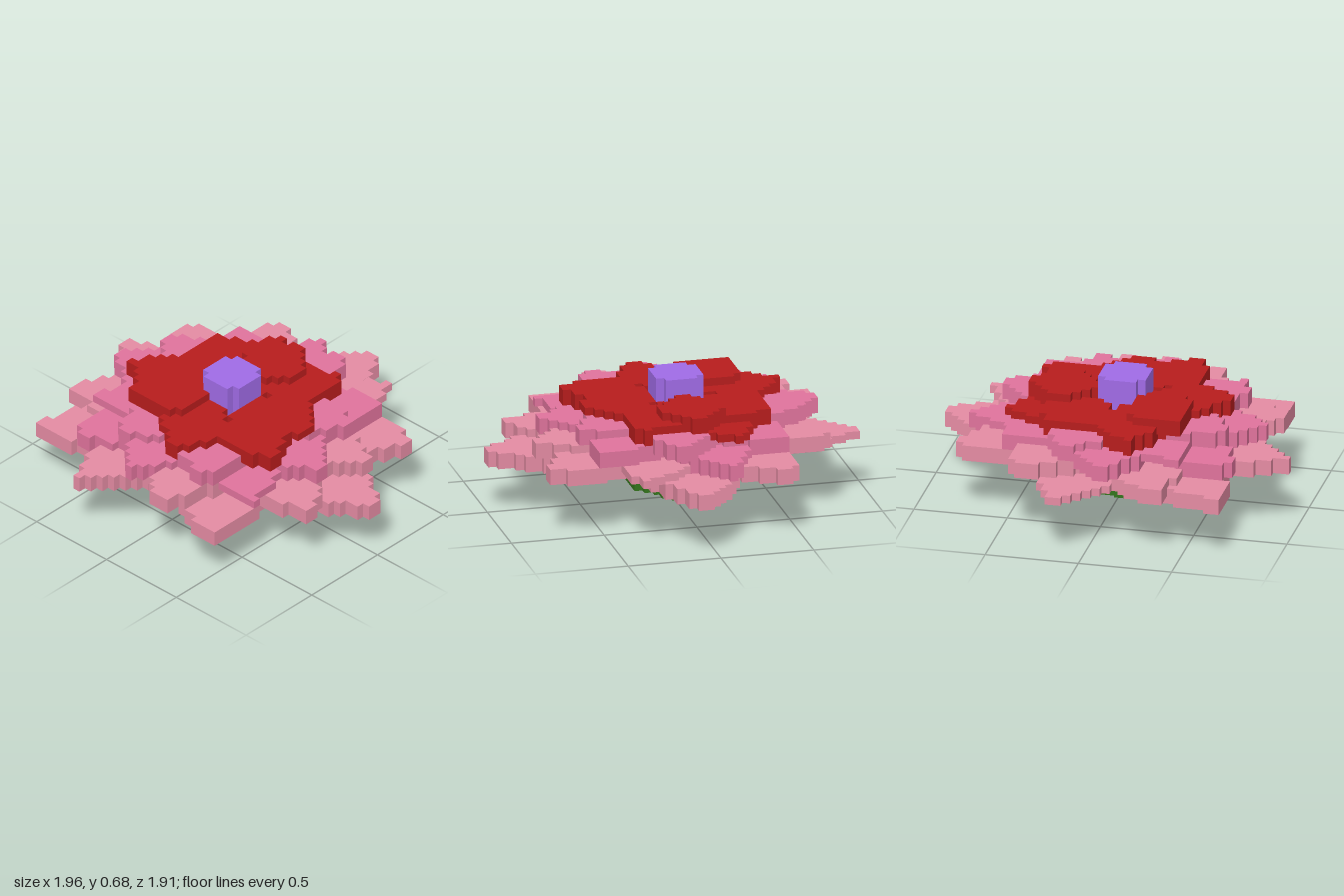
import * as THREE from 'three';

const V = 2 / 47; // voxel edge
const material = (name, color) => Object.assign(new THREE.MeshStandardMaterial({ color }), { name });

// Six cube sides: outward direction and two edge directions (u x v = n)
const SIDES = [
  [[1, 0, 0], [0, 1, 0], [0, 0, 1]], [[-1, 0, 0], [0, 0, 1], [0, 1, 0]],
  [[0, 1, 0], [0, 0, 1], [1, 0, 0]], [[0, -1, 0], [1, 0, 0], [0, 0, 1]],
  [[0, 0, 1], [1, 0, 0], [0, 1, 0]], [[0, 0, -1], [0, 1, 0], [1, 0, 0]],
];

export function createModel() {
  const cells = new Map(); // "x,y,z" -> part name; later parts replace earlier ones

  // Fill every column whose centre passes the test, from layer y0 up to y1
  function fill(part, y0, y1, inside) {
    for (let x = -25; x < 25; x++) for (let z = -25; z < 25; z++) {
      if (!inside(x + 0.5, z + 0.5)) continue;
      for (let y = y0; y < y1; y++) cells.set([x, y, z].join(), part);
    }
  }
  const disc = (part, r, y0, y1) => fill(part, y0, y1, (x, z) => Math.hypot(x, z) < r);

  // Stem and calyx
  disc('stem', 2.05, 0, 2);
  disc('calyx', 6.05, 2, 7);

  // Petals: a golden-angle spiral that rises and shrinks towards the middle
  for (let n = 0; n < 37; n++) {
    const part = n < 14 ? 'outerPetals' : n < 28 ? 'middlePetals' : 'innerPetals';
    const angle = n * THREE.MathUtils.degToRad(137.5);
    const c = Math.cos(angle), s = Math.sin(angle);
    const length = 24.4 - 0.345 * n;
    const halfWidth = 3.4 + 0.09 * length;
    const base = 6 + 0.165 * n;
    fill(part, Math.round(base), Math.round(base + 1.83), (x, z) => {
      const t = (x * c + z * s) / length;
      if (t <= 0 || t >= 1) return false;
      const neck = Math.min(1, (t / 0.6) ** 1.4); // narrow foot of the petal
      return Math.abs(z * c - x * s) < halfWidth * Math.sin(Math.PI * t) * neck + 0.2;
    });
  }

  // Heart of the flower
  disc('heart', 3.1, 12, 16);

  const green = material('leaf green', 0x33741b);
  const materials = {
    stem: green,
    calyx: green,
    outerPetals: material('pale rose', 0xe48ba3),
    middlePetals: material('deep pink', 0xe0739c),
    innerPetals: material('dark red', 0xb71c1c),
    heart: material('violet', 0xa06be6),
  };

  // Collect the exposed voxel sides of each part
  const faces = {};
  for (const [key, part] of cells) {
    const p = key.split(',').map(Number);
    const out = (faces[part] ??= { position: [], normal: [] });
    for (const [n, u, v] of SIDES) {
      if (cells.has(p.map((a, i) => a + n[i]).join())) continue;
      for (const [a, b] of [[0, 0], [1, 0], [1, 1], [0, 0], [1, 1], [0, 1]]) {
        const q = p.map((e, i) => (e + Math.max(n[i], 0) + a * u[i] + b * v[i]) * V);
        out.position.push(q[0] - V / 2, q[1], q[2] + V / 2);
        out.normal.push(...n);
      }
    }
  }

  const group = new THREE.Group();
  group.name = 'flower';
  for (const part in faces) {
    const geometry = new THREE.BufferGeometry();
    for (const attribute of ['position', 'normal'])
      geometry.setAttribute(attribute, new THREE.Float32BufferAttribute(faces[part][attribute], 3));
    const mesh = new THREE.Mesh(geometry, materials[part]);
    mesh.name = part;
    group.add(mesh);
  }
  return group;
}
